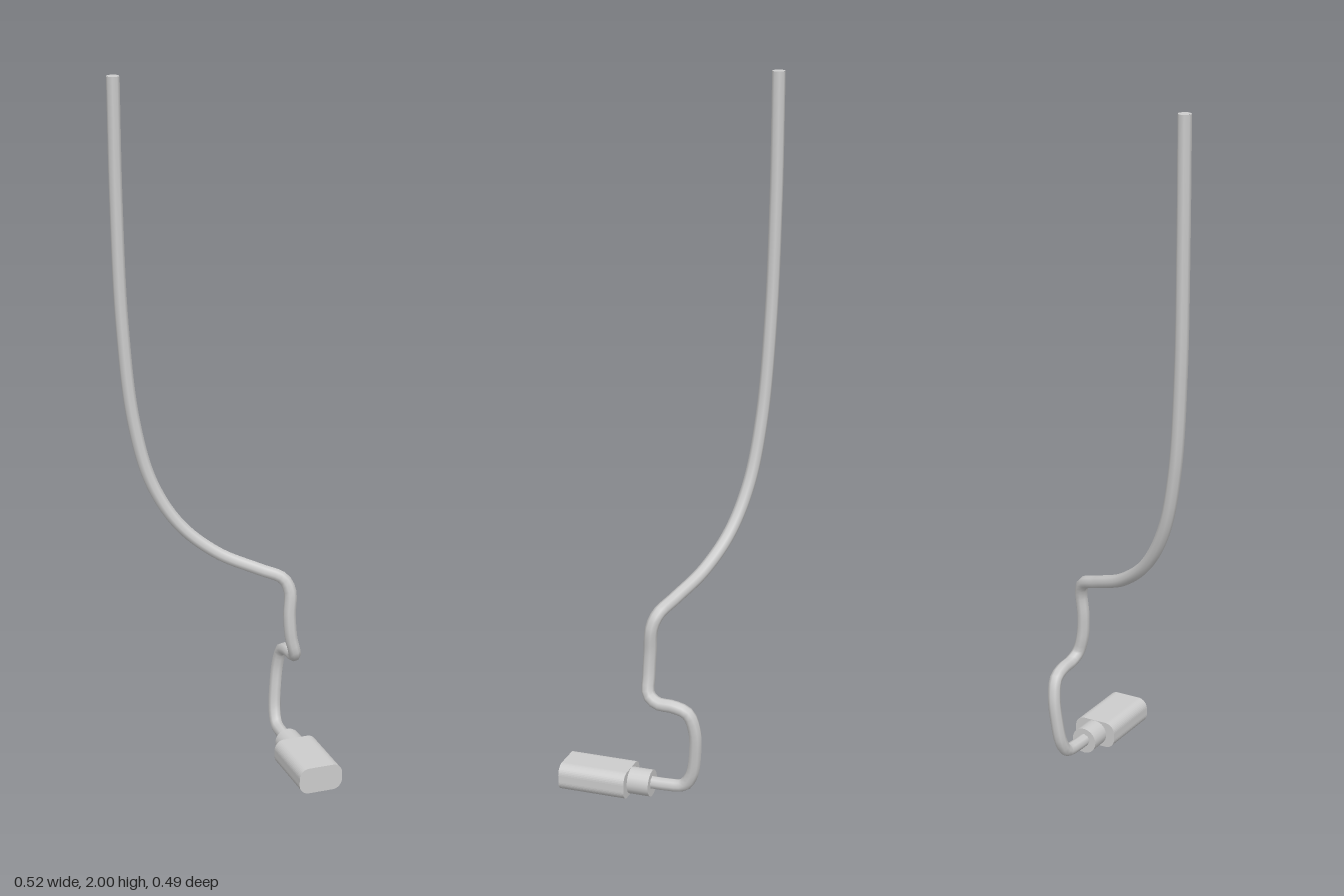
import * as THREE from 'three';

export function createModel() {
  const group = new THREE.Group();
  const material = new THREE.MeshStandardMaterial({ color: 0xcccccc });
  const add = (name, geometry, parent = group) => {
    const mesh = new THREE.Mesh(geometry, material);
    mesh.name = name;
    parent.add(mesh);
    return mesh;
  };

  // Plug: rounded block with a round collar behind it
  const plug = new THREE.Group();
  plug.name = 'plug';
  plug.position.set(0.195, 0.039, 0);
  group.add(plug);

  const w = 0.065, h = 0.039, r = 0.029;
  const outline = new THREE.Shape();
  outline.moveTo(w, h - r);
  outline.absarc(w - r, h - r, r, 0, Math.PI / 2);
  outline.absarc(r - w, h - r, r, Math.PI / 2, Math.PI);
  outline.absarc(r - w, r - h, r, Math.PI, Math.PI * 1.5);
  outline.absarc(w - r, r - h, r, Math.PI * 1.5, Math.PI * 2);
  outline.closePath();
  const block = new THREE.ExtrudeGeometry(outline, { depth: 0.197, bevelEnabled: false, curveSegments: 5 });
  add('plugBody', block, plug).position.z = 0.047;

  const collar = new THREE.CylinderGeometry(0.0385, 0.0385, 0.064, 20);
  collar.rotateX(Math.PI / 2);
  add('plugCollar', collar, plug).position.z = 0.016;

  // Cable: from the collar, through the small loop, up to the cut end
  const path = new THREE.CatmullRomCurve3([
    [0.195, 0.042, 0], [0.196, 0.043, -0.06], [0.197, 0.05, -0.11],
    [0.2, 0.085, -0.135], [0.207, 0.16, -0.148], [0.214, 0.23, -0.148],
    [0.219, 0.28, -0.13], [0.221, 0.296, -0.09], [0.221, 0.3, -0.04],
    [0.214, 0.32, -0.013], [0.201, 0.37, -0.009], [0.196, 0.44, -0.011],
    [0.199, 0.515, -0.017], [0.183, 0.551, -0.03], [0.12, 0.578, -0.057],
    [0.01, 0.626, -0.103], [-0.09, 0.71, -0.146], [-0.162, 0.835, -0.178],
    [-0.207, 1.02, -0.2], [-0.232, 1.3, -0.215], [-0.242, 1.65, -0.223],
    [-0.245, 2, -0.225],
  ].map((p) => new THREE.Vector3(...p)));
  const radius = 0.0185, sides = 8;
  add('cable', new THREE.TubeGeometry(path, 140, radius, sides, false));

  // Flat cap closing the cut end
  const cap = new THREE.CircleGeometry(radius, sides);
  cap.rotateX(-Math.PI / 2);
  add('cableEnd', cap).position.set(-0.245, 2, -0.225);

  return group;
}
